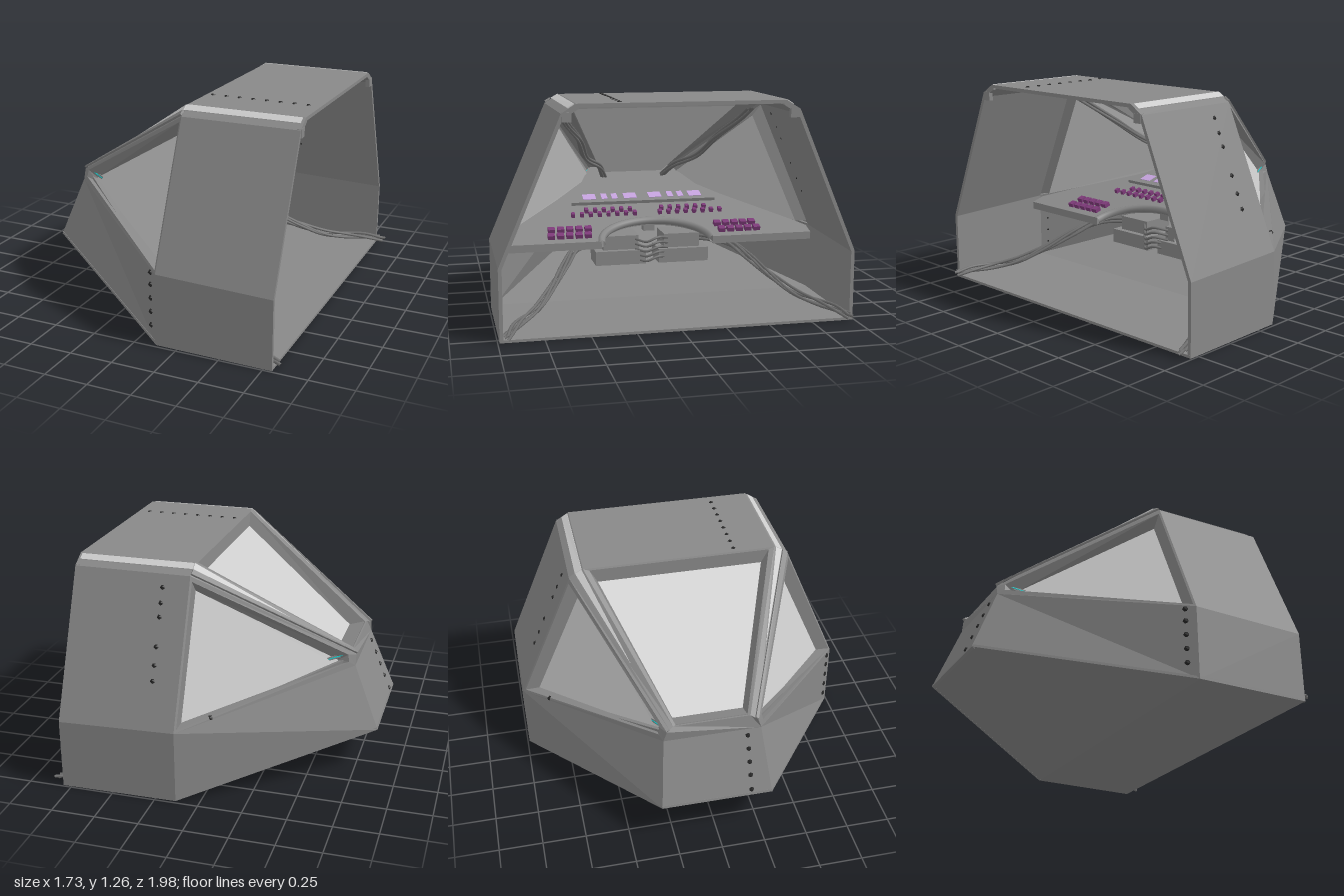
import * as THREE from 'three';

const mat = (name, color, side = THREE.FrontSide) => {
  const m = new THREE.MeshStandardMaterial({ color, side });
  m.name = name;
  return m;
};
const V = (p) => new THREE.Vector3(...p);
const mirror = (pts, s) => pts.map(([x, y, z]) => [x, y, z * s]);
const CENTRE = new THREE.Vector3(0.1, 0.5, 0);

// Flat polygon facing away from the cabin centre; t > 0 thickens it inwards
function poly(points, t = 0, lift = 0) {
  let p = points.map(V);
  const n = new THREE.Vector3(), c = new THREE.Vector3();
  p.forEach((a, i) => { n.add(a.clone().cross(p[(i + 1) % p.length])); c.add(a); });
  n.normalize();
  c.divideScalar(p.length);
  if (n.dot(c.sub(CENTRE)) < 0) { p.reverse(); n.negate(); }
  p.forEach((a) => a.addScaledVector(n, lift));
  const out = [];
  const tri = (...v) => v.forEach((a) => out.push(a.x, a.y, a.z));
  const q = p.map((a) => a.clone().addScaledVector(n, -t));
  for (let i = 1; i < p.length - 1; i++) {
    tri(p[0], p[i], p[i + 1]);
    if (t) tri(q[0], q[i + 1], q[i]);
  }
  if (t) p.forEach((a, i) => {
    const j = (i + 1) % p.length;
    tri(a, q[i], q[j]);
    tri(a, q[j], p[j]);
  });
  const g = new THREE.BufferGeometry();
  g.setAttribute('position', new THREE.Float32BufferAttribute(out, 3));
  g.computeVertexNormals();
  return g;
}

const SLOPE = 0.31;
const deskY = (x) => 0.385 + SLOPE * (0.2 - x);

export function createModel() {
  const root = new THREE.Group();
  root.name = 'cockpit';
  const hull = mat('hull grey', 0x888888, THREE.DoubleSide);
  const glass = mat('window glass', 0xcccccc, THREE.DoubleSide);
  const cyan = mat('screen cyan', 0x10dcdc, THREE.DoubleSide);
  const purple = mat('button purple', 0x7c3a78);
  const lilac = mat('key lilac', 0xc4a2dc);
  const dark = mat('bolt black', 0x262626);
  const cableGrey = mat('cable grey', 0x707070);

  const add = (name, geo, m, parent = root) => {
    const mesh = new THREE.Mesh(geo, m);
    mesh.name = name;
    parent.add(mesh);
    return mesh;
  };
  const box = (name, m, size, pos, tilt = 0) => {
    const b = add(name, new THREE.BoxGeometry(...size), m);
    b.position.set(...pos);
    b.rotation.z = tilt;
    return b;
  };

  // Window: outer loop -> lip -> recessed pane
  const windowFrame = (name, outer, lip, pane) => {
    const grp = new THREE.Group();
    grp.name = name;
    root.add(grp);
    outer.forEach((_, i) => {
      const j = (i + 1) % outer.length;
      add('frameFace', poly([outer[i], outer[j], lip[j], lip[i]]), hull, grp);
      add('frameReveal', poly([lip[i], lip[j], pane[j], pane[i]]), hull, grp);
    });
    add('pane', poly(pane), glass, grp);
  };

  // Shell pieces on the centre line
  const both = (pts) => [...pts, ...mirror(pts, -1).reverse()];
  add('roof', poly(both([[0.13, 1.25, 0.57], [0.8, 1.25, 0.57]]), 0.02), hull);
  add('floor', poly(both([[0.13, 0.005, 0.99], [0.8, 0, 0.99]]), 0.015), hull);
  add('noseFloor', poly(both([[-0.87, 0.25, 0.32], [0.13, 0.005, 0.99]]), 0.015), hull);
  add('nosePlate', poly(both([[-0.87, 0.25, 0.32], [-0.72, 0.62, 0.28]]), 0.02), hull);
  add('noseLedge', poly(both([[-0.72, 0.62, 0.28], [-0.72, 0.68, 0.26], [-0.7, 0.7, 0.22]])), hull);
  windowFrame('topWindow',
    both([[0.13, 1.25, 0.57], [-0.7, 0.7, 0.22]]),
    both([[0.125, 1.24, 0.535], [-0.69, 0.7, 0.205]]),
    both([[0.12, 1.16, 0.49], [-0.63, 0.65, 0.19]]));

  // Mirrored shell pieces
  for (const s of [1, -1]) {
    const slab = (name, pts, t, m = hull, lift = 0) => add(name, poly(mirror(pts, s), t, lift), m);
    slab('sideLower', [[0.13, 0.005, 0.99], [0.8, 0, 0.99], [0.8, 0.4, 0.99], [0.13, 0.42, 0.99]], 0.02);
    slab('sideUpper', [[0.13, 0.42, 0.99], [0.8, 0.4, 0.99], [0.8, 1.2, 0.65], [0.13, 1.2, 0.655]], 0.02);
    slab('noseSide', [[0.13, 0.005, 0.99], [0.13, 0.42, 0.99], [-0.72, 0.62, 0.28], [-0.87, 0.25, 0.32]], 0.015);
    windowFrame('sideWindow',
      mirror([[0.13, 0.42, 0.99], [0.13, 1.2, 0.655], [-0.72, 0.68, 0.26], [-0.72, 0.62, 0.28]], s),
      mirror([[0.12, 0.437, 0.975], [0.12, 1.17, 0.66], [-0.68, 0.685, 0.29], [-0.685, 0.645, 0.3]], s),
      mirror([[0.12, 0.44, 0.89], [0.12, 1.1, 0.6], [-0.62, 0.645, 0.285], [-0.62, 0.62, 0.295]], s));

    // Corner beams with a light strip
    slab('roofBeam', [[0.13, 1.2, 0.655], [0.8, 1.2, 0.65], [0.8, 1.25, 0.57], [0.13, 1.25, 0.57]], 0.03);
    slab('roofStrip', [[0.13, 1.224, 0.616], [0.785, 1.224, 0.612], [0.785, 1.246, 0.577], [0.13, 1.246, 0.577]], 0.006, glass, 0.006);
    slab('noseBeam', [[0.13, 1.2, 0.655], [-0.72, 0.68, 0.26], [-0.7, 0.7, 0.22], [0.13, 1.25, 0.57]], 0.015);
    slab('noseRail', [[0.13, 1.205, 0.65], [-0.72, 0.684, 0.258], [-0.715, 0.69, 0.243], [0.13, 1.222, 0.62]], 0.012, hull, 0.012);
    slab('noseStrip', [[0.13, 1.224, 0.615], [-0.36, 0.914, 0.392], [0.13, 1.246, 0.578]], 0.006, glass, 0.007);
    box('rearClip', hull, [0.025, 0.05, 0.05], [0.79, 1.18, 0.62 * s]);

    // Cable bundles along the floor and under the corner beam
    const bundle = (name, pts, wave) => {
      for (let k = 0; k < 4; k++) {
        const path = pts.map(([x, y, z], i) => new THREE.Vector3(
          x + (i === pts.length - 1 ? 0.012 * k * wave * (s < 0 ? 1 : 0.3) : 0),
          y + 0.014 * Math.sin(k * 1.9 + i * wave),
          (z + 0.016 * Math.cos(k * 1.6 + i * wave)) * s));
        add(name, new THREE.TubeGeometry(new THREE.CatmullRomCurve3(path), 32, 0.009, 6), cableGrey);
      }
    };
    bundle('floorCable', [[-0.1, 0.33, 0.25], [0.05, 0.32, 0.46], [0.2, 0.25, 0.56], [0.36, 0.16, 0.66],
      [0.5, 0.09, 0.76], [0.62, 0.06, 0.86], [0.74, 0.05, 0.92], [0.825, 0.035, 0.96]], 1);
    bundle('beamCable', [[-0.62, 0.6, 0.17], [-0.4, 0.74, 0.25], [-0.25, 0.82, 0.36], [-0.05, 0.96, 0.43],
      [0.1, 1.08, 0.53], [0.2, 1.15, 0.56]], 0.6);

    // Equipment boxes under the desk
    box('lowerUnit', hull, [0.2, 0.085, 0.31], [-0.05, 0.243, 0.195 * s]);
    box('upperUnit', hull, [0.2, 0.085, 0.22], [-0.08, 0.33, 0.19 * s]);

    // Screen, keys and buttons
    const onDesk = (x, z, h) => [x, deskY(x) + h, z * s];
    add('screen', poly([onDesk(-0.33, 0.015, 0.028), onDesk(-0.33, 0.39, 0.028),
      onDesk(-0.655, 0.29, 0.028), onDesk(-0.655, 0.015, 0.028)], 0.005), cyan);
    const tilt = -Math.atan(SLOPE);
    for (const [z, w] of [[0.34, 0.09], [0.245, 0.045], [0.18, 0.045], [0.08, 0.09]]) {
      box('keyBase', purple, [0.09, 0.02, w + 0.012], onDesk(-0.265, z, 0.026), tilt);
      box('key', lilac, [0.07, 0.02, w - 0.008], onDesk(-0.262, z, 0.034), tilt);
    }
    for (let i = 0; i < 8; i++) {
      box('smallButton', purple, [0.03, 0.025, 0.022], onDesk(-0.1, 0.08 + i * 0.055, 0.012), tilt);
      if (i < 6) box('smallButton', purple, [0.03, 0.025, 0.022], onDesk(-0.15, 0.1 + i * 0.055, 0.012), tilt);
    }
    for (let i = 0; i < 5; i++) {
      box('wingButton', purple, [0.04, 0.03, 0.04], onDesk(0.14, 0.41 + i * 0.055, 0.01), tilt);
      box('wingButton', purple, [0.04, 0.03, 0.04], onDesk(0.07, 0.4 + i * 0.055, 0.01), tilt);
    }
  }

  // Sloping desk with a rounded cut-out
  const plan = new THREE.Shape();
  plan.moveTo(0.2, 0.96);
  [[0.12, 0.96], [-0.69, 0.26], [-0.69, -0.26], [0.12, -0.96], [0.2, -0.96], [0.2, -0.34]].forEach((p) => plan.lineTo(...p));
  plan.absellipse(0.2, 0, 0.25, 0.34, -Math.PI / 2, Math.PI / 2, true);
  const desk = new THREE.ExtrudeGeometry(plan, { depth: 0.045, bevelEnabled: false, curveSegments: 24 }).rotateX(Math.PI / 2);
  const pos = desk.attributes.position;
  for (let i = 0; i < pos.count; i++) pos.setY(i, pos.getY(i) + deskY(pos.getX(i)));
  desk.computeVertexNormals();
  add('desk', desk, hull);
  const rim = [];
  for (let i = 0; i <= 16; i++) {
    const a = Math.PI * (0.5 + i / 16), x = 0.2 + 0.25 * Math.cos(a);
    rim.push(new THREE.Vector3(x, deskY(x) - 0.015, 0.34 * Math.sin(a)));
  }
  add('deskRim', new THREE.TubeGeometry(new THREE.CatmullRomCurve3(rim), 40, 0.024, 8), hull);
  const dy = (x) => deskY(x) + 0.02;
  add('screenPanel', poly(both([[-0.2, dy(-0.2), 0.46], [-0.69, dy(-0.69), 0.27]]), 0.02), hull);
  box('centreUnit', hull, [0.06, 0.035, 0.07], [-0.08, 0.4, 0]);
  for (let i = 0; i < 5; i++) {
    const y = 0.23 + i * 0.03;
    const link = [[0.02, y, -0.1], [0.07, y + 0.015, -0.03], [0.07, y - 0.01, 0.04], [0.02, y, 0.1]].map(V);
    add('linkCable', new THREE.TubeGeometry(new THREE.CatmullRomCurve3(link), 12, 0.008, 6), cableGrey);
  }

  // Bolts through the panels
  const boltGeo = new THREE.IcosahedronGeometry(0.017, 0);
  const bolt = (x, y, z) => add('bolt', boltGeo, dark).position.set(x, y, z);
  [0.1, 0.18, 0.26, 0.34, 0.41].forEach((y) => bolt(0.085, y, 0.95));
  [0.17, 0.25, 0.33, 0.41, 0.49, 0.57, 0.65, 0.73].forEach((x) => bolt(x, 1.242, 0.33));
  [0.31, 0.41, 0.53, 0.72, 0.81, 0.91].forEach((a) => bolt(0.28, 0.42 + 0.78 * a, -0.98 + 0.335 * a));
  [0.08, 0.3, 0.5, 0.7, 0.9].forEach((a) => bolt(-0.865 + 0.15 * a, 0.25 + 0.37 * a, 0.2));
  bolt(-0.03, 0.465, -0.84);
  return root;
}
